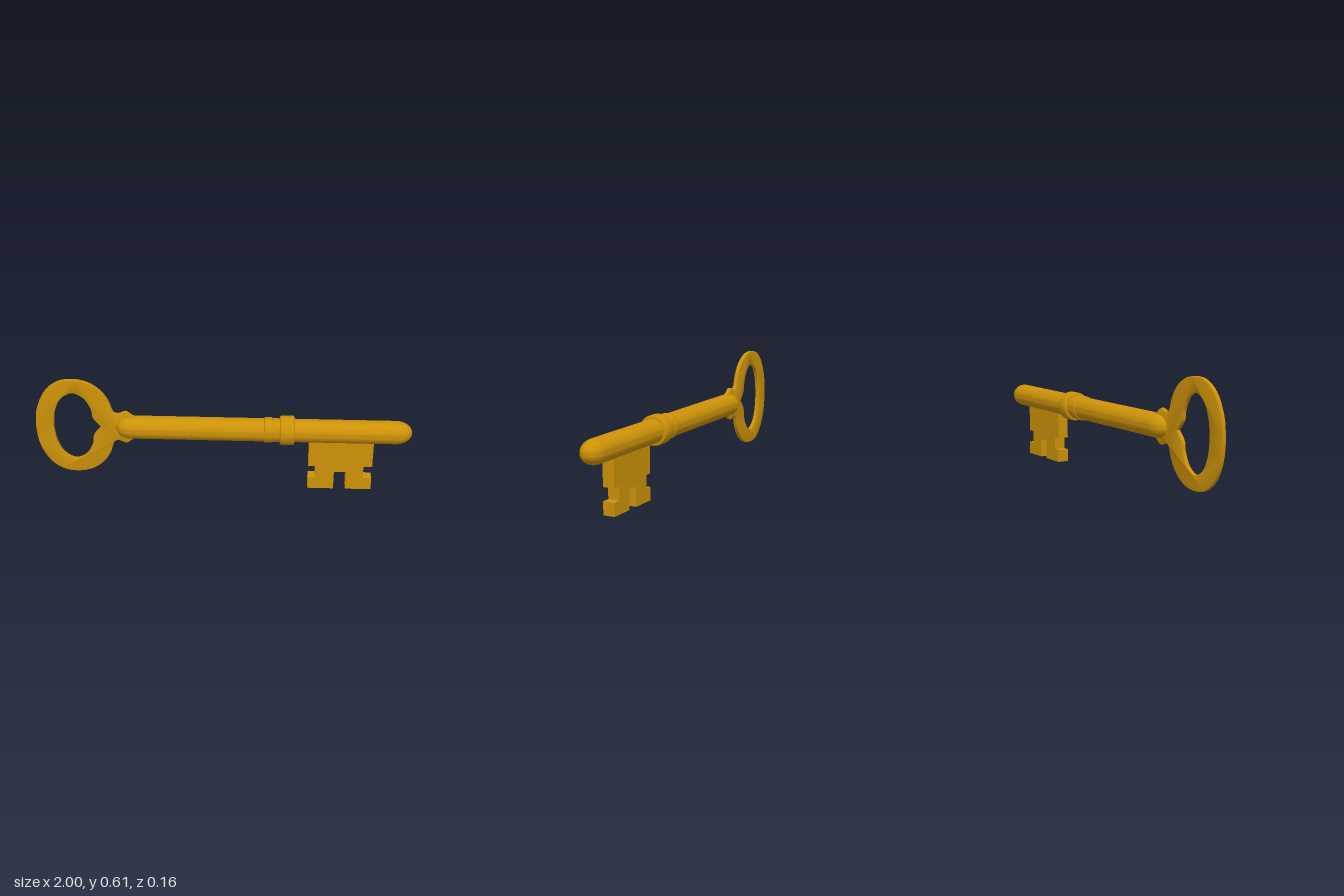
import * as THREE from 'three';
import { toCreasedNormals } from 'three/addons/utils/BufferGeometryUtils.js';

const AXIS_Y = 0.335; // height of the shaft's centre line

export function createModel() {
  const group = new THREE.Group();
  group.name = 'key';
  const brass = new THREE.MeshStandardMaterial({ color: 0xcc9208 });

  const add = (name, geometry) => {
    const mesh = new THREE.Mesh(geometry, brass);
    mesh.name = name;
    group.add(mesh);
    return mesh;
  };
  const vec = (points) => points.map(([x, y]) => new THREE.Vector2(x, y));

  // Turned part along x, from [x, radius] points
  const turned = (name, profile) => {
    const lathe = new THREE.LatheGeometry(vec(profile.map(([x, r]) => [r, x])), 48);
    lathe.rotateZ(-Math.PI / 2);
    add(name, toCreasedNormals(lathe, 0.6)).position.y = AXIS_Y;
  };

  // Shaft with rounded ends
  const R = 0.062, CAP = 0.085, shaft = [];
  for (const [x, from] of [[-0.485, -Math.PI / 2], [0.914, 0]]) {
    for (let i = 0; i <= 12; i++) {
      const a = from + (i / 12) * Math.PI / 2;
      shaft.push([x + CAP * Math.sin(a), Math.max(0, R * Math.cos(a))]);
    }
  }
  turned('shaft', shaft);

  // Collars with softened edges
  const collar = (name, x0, x1, r, b) => turned(name, [
    [x0, 0.05], [x0, r - b], [x0 + b * 0.3, r - b * 0.3], [x0 + b, r],
    [x1 - b, r], [x1 - b * 0.3, r - b * 0.3], [x1, r - b], [x1, 0.05],
  ]);
  collar('smallCollar', 0.218, 0.264, 0.068, 0.006);
  collar('collarNeck', 0.262, 0.296, 0.0645, 0.002);
  collar('largeCollar', 0.302, 0.379, 0.0785, 0.009);

  // Bow: half curves mirrored about the axis, running anticlockwise (y is measured from the axis)
  const mirroredLoop = (half) => {
    const top = new THREE.SplineCurve(vec(half)).getPoints(48);
    const bottom = top.map((p) => new THREE.Vector2(p.x, -p.y));
    return [...bottom, ...top.slice(1, -1).reverse()];
  };
  const bevel = 0.003;
  const bowShape = new THREE.Shape(mirroredLoop([
    [-1, 0], [-0.987, 0.105], [-0.94, 0.203], [-0.87, 0.259], [-0.79, 0.273],
    [-0.71, 0.257], [-0.643, 0.21], [-0.604, 0.15], [-0.583, 0.09],
    [-0.556, 0.078], [-0.516, 0.092], [-0.48, 0.068], [-0.44, 0.05], [-0.43, 0],
  ]));
  bowShape.holes.push(new THREE.Path(mirroredLoop([
    [-0.904, 0], [-0.893, 0.085], [-0.858, 0.16], [-0.795, 0.196],
    [-0.735, 0.167], [-0.7, 0.105], [-0.692, 0.055], [-0.672, 0.026], [-0.648, 0],
  ])));
  const bow = new THREE.ExtrudeGeometry(bowShape, {
    depth: 0.016, bevelEnabled: true, bevelThickness: bevel, bevelSize: bevel,
    bevelOffset: -bevel, bevelSegments: 2,
  });
  bow.translate(0, 0, -0.008);
  add('bow', toCreasedNormals(bow, 0.6)).position.y = AXIS_Y + 0.001;

  // Bit: notched blade below the shaft
  const bitShape = new THREE.Shape(vec([
    [0.459, 0.3], [0.459, 0.138], [0.496, 0.138], [0.496, 0.069], [0.459, 0.069],
    [0.459, 0], [0.598, 0], [0.598, 0.104], [0.662, 0.104], [0.662, 0],
    [0.8, 0], [0.8, 0.069], [0.754, 0.069], [0.754, 0.138], [0.8, 0.138], [0.8, 0.3],
  ]));
  const bit = new THREE.ExtrudeGeometry(bitShape, { depth: 0.062, bevelEnabled: false });
  bit.translate(0, 0, -0.031);
  add('bit', bit);

  return group;
}
